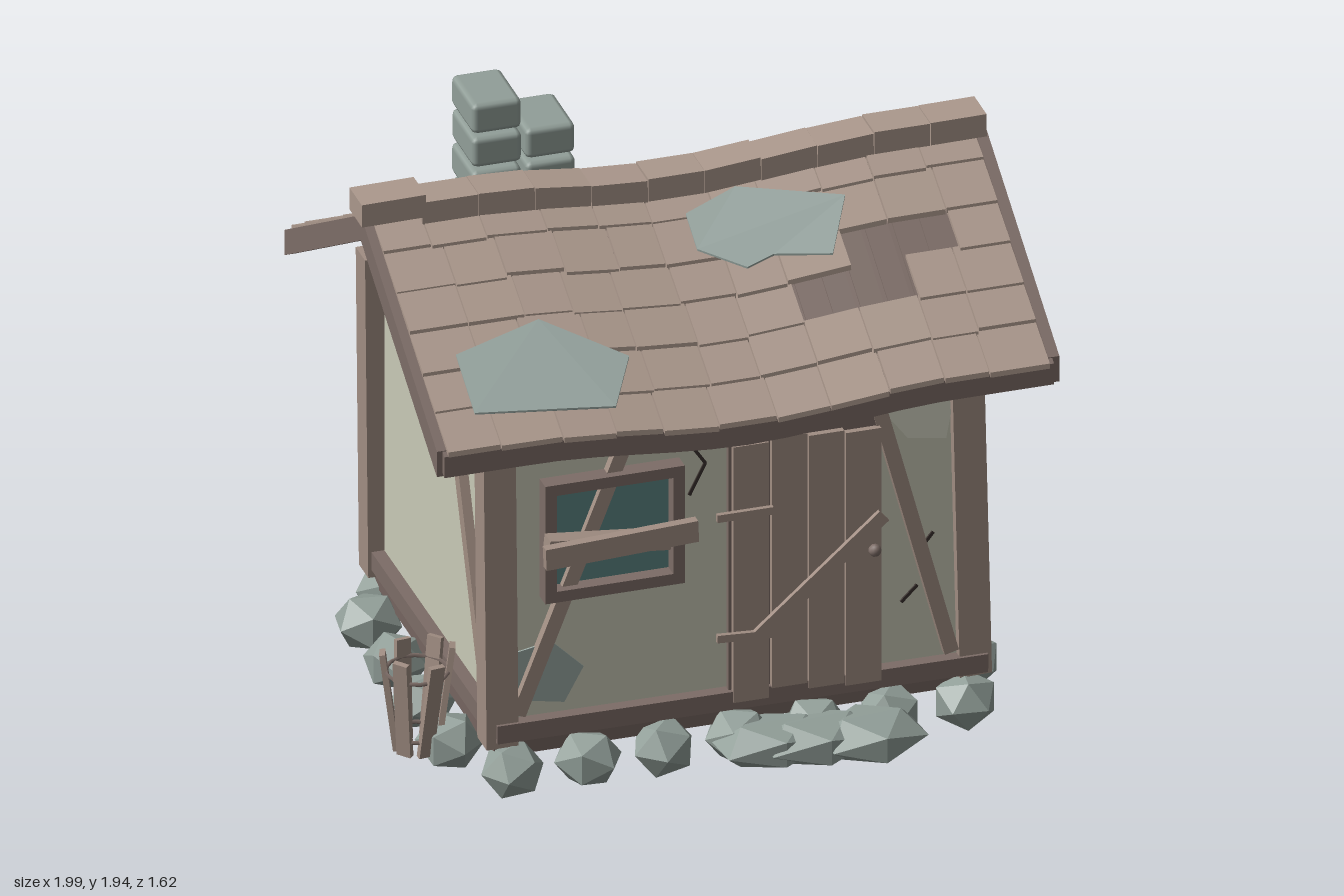
import * as THREE from 'three';
import { RoundedBoxGeometry } from 'three/addons/geometries/RoundedBoxGeometry.js';

const M = {};
for (const [name, color] of Object.entries({
  plaster: 0xc9cab7, palePlaster: 0xd6d6c6, timber: 0xa18e83, darkTimber: 0x7d6d67, shingle: 0xac998d,
  stone: 0x929f99, moss: 0x9ba9a4, glass: 0x5b8583, floorBoards: 0x756560, crackDark: 0x3a312e,
})) {
  M[name] = new THREE.MeshStandardMaterial({ color });
  M[name].name = name;
}

let seed = 11;
const rand = (a, b) => {
  seed = (seed * 16807) % 2147483647;
  return a + (b - a) * (seed / 2147483647);
};

// Roof surface: two slopes with a dip at the middle of the ridge
const RIDGE_Z = -0.055, SLOPE = 0.58;
const sag = (x) => 0.045 * THREE.MathUtils.smoothstep(Math.abs(x - 0.02), 0, 0.65);
const roofY = (x, z) => 1.627 + sag(x) - SLOPE * Math.abs(z - RIDGE_Z);

function add(parent, name, geo, mat, x = 0, y = 0, z = 0) {
  const m = new THREE.Mesh(geo, mat);
  m.name = name;
  m.position.set(x, y, z);
  parent.add(m);
  return m;
}

// Lifts a geometry laid out flat onto the sagging roof surface
function bend(geo, height = roofY) {
  const g = geo.index ? geo.toNonIndexed() : geo;
  const p = g.attributes.position;
  for (let i = 0; i < p.count; i++) p.setY(i, p.getY(i) + height(p.getX(i), p.getZ(i)));
  g.computeVertexNormals();
  return g;
}

// Straight timber between two points on a wall plane; z0 is its back
function bar(wall, name, mat, x1, y1, x2, y2, w, d, z0 = 0) {
  const len = Math.hypot(x2 - x1, y2 - y1);
  const m = add(wall, name, new THREE.BoxGeometry(len, w, d), mat, (x1 + x2) / 2, (y1 + y2) / 2, z0 + d / 2);
  m.rotation.z = Math.atan2(y2 - y1, x2 - x1);
  return m;
}

function plate(pts, depth = 0.006) {
  const shape = new THREE.Shape(pts.map(([x, y]) => new THREE.Vector2(x, y)));
  return new THREE.ExtrudeGeometry(shape, { depth, bevelEnabled: false });
}

function windowUnit(wall, cx, cy, w, h) {
  add(wall, 'windowGlass', new THREE.BoxGeometry(w - 0.03, h - 0.03, 0.008), M.glass, cx, cy, 0.005);
  const x = w / 2 - 0.018, y = h / 2 - 0.018;
  for (const s of [-1, 1]) {
    bar(wall, 'windowFrame', M.darkTimber, cx - w / 2, cy + s * y, cx + w / 2, cy + s * y, 0.036, 0.055);
    bar(wall, 'windowFrame', M.darkTimber, cx + s * x, cy - y, cx + s * x, cy + y, 0.036, 0.055);
  }
}

function crack(wall, pts) {
  for (let i = 1; i < pts.length; i++) bar(wall, 'crack', M.crackDark, ...pts[i - 1], ...pts[i], 0.01, 0.006);
}

function group(parent, name, x = 0, z = 0, turn = 0) {
  const g = new THREE.Group();
  g.name = name;
  g.position.set(x, 0, z);
  g.rotation.y = turn;
  parent.add(g);
  return g;
}

function buildWalls(root) {
  // Plaster body with gables
  const body = plate([[0.53, 0.15], [0.53, 1.23], [RIDGE_Z, 1.58], [-0.63, 1.23], [-0.63, 0.15]], 1.46);
  body.rotateY(-Math.PI / 2);
  add(root, 'plasterWalls', body, M.plaster, 0.76);
  add(root, 'floor', new THREE.BoxGeometry(1.5, 0.05, 1.18), M.floorBoards, 0.03, 0.145, -0.05);

  // Corner posts
  for (const [x1, x2, z] of [[-0.7, -0.71, 0.515], [0.775, 0.75, 0.515], [-0.7, -0.71, -0.62], [0.765, 0.755, -0.62]])
    bar(root, 'cornerPost', M.timber, x1, 0.16, x2, 1.23, 0.1, 0.09, z - 0.045);

  // Front wall
  const front = group(root, 'frontWall', 0, 0.53);
  bar(front, 'sill', M.darkTimber, -0.72, 0.21, 0.81, 0.2, 0.06, 0.04);
  bar(front, 'topPlate', M.darkTimber, -0.7, 1.2, 0.76, 1.2, 0.06, 0.03);
  bar(front, 'brace', M.timber, -0.65, 0.26, -0.3, 1.16, 0.045, 0.03);
  bar(front, 'brace', M.timber, 0.7, 0.25, 0.46, 1.16, 0.045, 0.03);
  windowUnit(front, -0.358, 0.833, 0.435, 0.395);
  bar(front, 'windowBoard', M.timber, -0.6, 0.83, -0.125, 0.85, 0.07, 0.03, 0.11);
  bar(front, 'windowBoard', M.timber, -0.58, 0.85, -0.2, 0.81, 0.05, 0.055, 0.055);
  add(front, 'wallPatch', plate([[-0.65, 0.3], [-0.5, 0.27], [-0.44, 0.38], [-0.54, 0.48], [-0.65, 0.46]]), M.moss);
  add(front, 'palePatch', plate([[0.5, 1.14], [0.51, 1.06], [0.57, 0.98], [0.69, 0.96], [0.71, 1.07], [0.65, 1.14]]), M.palePlaster);
  crack(front, [[-0.07, 1.11], [-0.1, 1.06], [-0.06, 1.0], [-0.11, 0.9]]);
  crack(front, [[0.65, 0.65], [0.61, 0.6]]);
  crack(front, [[0.6, 0.48], [0.55, 0.43]]);

  // Door
  const door = group(front, 'door');
  add(door, 'doorBack', new THREE.BoxGeometry(0.47, 0.9, 0.02), M.darkTimber, 0.24, 0.64, 0.015);
  [[0.07, 0.2, 1.06], [0.19, 0.23, 1.07], [0.305, 0.21, 1.06], [0.42, 0.2, 1.05]].forEach(([x, y1, y2]) =>
    bar(door, 'doorPlank', M.timber, x, y1, x, y2, 0.11, 0.03, 0.015));
  bar(door, 'hinge', M.timber, -0.04, 0.835, 0.135, 0.835, 0.025, 0.015, 0.045);
  bar(door, 'hinge', M.timber, -0.04, 0.43, 0.135, 0.42, 0.025, 0.015, 0.045);
  bar(door, 'doorBrace', M.timber, 0.08, 0.41, 0.48, 0.76, 0.045, 0.015, 0.045);
  add(door, 'doorKnob', new THREE.IcosahedronGeometry(0.02, 1), M.darkTimber, 0.45, 0.65, 0.06);

  // Back wall
  const back = group(root, 'backWall', 0, -0.63, Math.PI);
  bar(back, 'sill', M.darkTimber, -0.79, 0.2, 0.72, 0.21, 0.06, 0.04);
  bar(back, 'topPlate', M.darkTimber, -0.76, 1.2, 0.7, 1.2, 0.06, 0.03);
  bar(back, 'brace', M.timber, 0.62, 0.26, 0.25, 1.18, 0.045, 0.03);

  // End walls: local x runs to the right as seen from outside
  const right = group(root, 'rightWall', 0.76, 0, Math.PI / 2);
  const left = group(root, 'leftWall', -0.7, 0, -Math.PI / 2);
  for (const [wall, s] of [[right, 1], [left, -1]]) {
    const c = -RIDGE_Z * s;
    bar(wall, 'sill', M.darkTimber, c - 0.54, 0.215, c + 0.54, 0.225, 0.06, 0.04);
    bar(wall, 'tieBeam', M.darkTimber, c - 0.54, 1.23, c + 0.54, 1.25, 0.055, 0.045);
    bar(wall, 'kingPost', M.darkTimber, c, 1.25, c, 1.61, 0.045, 0.035);
    for (const k of [-1, 1]) {
      bar(wall, 'gableRafter', M.darkTimber, c + k * 0.58, 1.275, c, 1.61, 0.045, 0.045);
      bar(wall, 'gableBrace', M.timber, c + k * 0.5, 1.255, c + k * 0.02, 1.57, 0.035, 0.03);
    }
  }
  windowUnit(right, 0.205, 0.823, 0.43, 0.385);
  bar(right, 'brace', M.timber, 0.16, 1.19, 0.53, 0.27, 0.045, 0.03);
  add(right, 'wallPatch', plate([[-0.39, 0.33], [-0.21, 0.29], [-0.07, 0.41], [-0.14, 0.53], [-0.35, 0.49]]), M.moss);
  bar(left, 'brace', M.timber, 0.1, 1.19, 0.46, 0.27, 0.045, 0.03);
}

function buildRoof(root) {
  const roof = group(root, 'roof');
  for (const s of [1, -1]) {
    // Deck, eave fascia and barge boards
    const flat = (w, h, d, x, y, run, seg = 1) =>
      bend(new THREE.BoxGeometry(w, h, d, seg, 1, 1).translate(x, y, RIDGE_Z + s * run));
    add(roof, 'roofDeck', flat(1.88, 0.03, 0.745, 0.025, -0.02, 0.3725, 16), M.darkTimber);
    add(roof, 'eaveFascia', flat(1.9, 0.07, 0.025, 0.025, -0.03, 0.735, 16), M.darkTimber);
    for (const x of [-0.925, 0.98])
      add(roof, 'bargeBoard', flat(0.035, 0.085, 0.73, x, -0.035, 0.365), M.darkTimber);

    // Overlapping shingles, with a gap on the front slope
    for (let row = 0; row < 6; row++) {
      const z0 = row * 0.125;
      let x0 = -0.915;
      for (let col = 0; col < 11; col++) {
        const x1 = col === 10 ? 0.96 : -0.915 + (col + 1) * 0.1705 + rand(-0.02, 0.02);
        const mid = (x0 + x1) / 2;
        const missing = s > 0 && ((row === 2 && mid > 0.48 && mid < 0.78) || (row === 3 && mid > 0.2 && mid < 0.6));
        if (!missing) {
          const len = 0.14 + rand(-0.008, 0.006), lift = rand(0, 0.005);
          const g = new THREE.BoxGeometry(x1 - x0 - 0.004, 0.016, len);
          g.rotateX(s * -0.07).translate(mid, 0.008 + lift, RIDGE_Z + s * (z0 + len / 2 - 0.008));
          add(roof, 'shingle', bend(g), M.shingle);
        }
        x0 = x1;
      }
    }
  }
  // Bare battens inside the gap
  for (let x = 0.24; x < 0.8; x += 0.085)
    add(roof, 'batten', bend(new THREE.BoxGeometry(0.07, 0.008, 0.27).translate(x, -0.003, 0.33)), M.darkTimber);

  // Ridge caps, the outer one sitting proud
  for (let i = 0; i < 11; i++) {
    const g = new THREE.BoxGeometry(i ? 0.174 : 0.2, 0.075, 0.118);
    g.rotateZ(rand(-0.02, 0.02)).translate(-0.858 + i * 0.176, (i ? 1.64 : 1.66) + rand(-0.003, 0.005), RIDGE_Z);
    add(roof, 'ridgeCap', bend(g, sag), M.shingle);
  }

  // Weathered patches, given as x, z outlines
  const patch = (pts, mat) =>
    add(roof, 'roofPatch', bend(plate(pts.map(([x, z]) => [x, -z])).rotateX(-Math.PI / 2).translate(0, 0.027, 0)), mat);
  patch([[-0.8, 0.42], [-0.52, 0.35], [-0.28, 0.48], [-0.37, 0.63], [-0.52, 0.625], [-0.8, 0.6]], M.moss);
  patch([[0.03, 0.07], [0.2, 0.02], [0.51, 0.12], [0.42, 0.28], [0.25, 0.24], [0.16, 0.26], [0.03, 0.18]], M.moss);
  patch([[-0.1, -0.68], [0.38, -0.74], [0.51, -0.6], [0.22, -0.45], [-0.05, -0.51]], M.palePlaster);

  // Chimney of two block stacks
  for (const [x, top] of [[-0.487, 1.89], [-0.325, 1.78]])
    for (let y = top; y > 1.42; y -= 0.113)
      add(roof, 'chimneyBlock', new RoundedBoxGeometry(0.155, 0.1, 0.215, 1, 0.018), M.stone, x + rand(-0.005, 0.005), y, -0.245);
}

function buildStones(root) {
  const stone = (name, x, y, z, sx, sy, sz) => {
    const m = add(root, name, new THREE.IcosahedronGeometry(1, 0), M.stone, x, y, z);
    m.rotation.y = rand(0, 6);
    m.scale.set(sx, sy, sz);
    return m;
  };
  // Foundation ring
  const ring = (x, z) => stone('foundationStone', x, 0.085, z, rand(0.1, 0.112), rand(0.085, 0.095), rand(0.092, 0.105));
  for (let i = 0; i < 7; i++) for (const z of [0.56, -0.63]) ring(-0.67 + i * 0.235, z);
  for (const z of [0.33, 0.07, -0.19, -0.45]) for (const x of [-0.79, 0.83]) ring(x, z);
  // Doorstep
  for (const [x, z, sx, sz] of [[0.12, 0.63, 0.2, 0.12], [0.41, 0.68, 0.18, 0.14], [0.25, 0.65, 0.2, 0.13]])
    stone('doorstepStone', x, 0.085, z, sx, 0.078, sz).rotation.y = 0.1;
}

function buildBarrel(root) {
  // Broken barrel of leaning staves beside the left wall
  const barrel = group(root, 'brokenBarrel', -0.882, 0.3);
  for (let i = 0; i < 6; i++) {
    const holder = group(barrel, 'staveHolder', 0, 0, (i * Math.PI) / 3 + 0.2);
    const h = rand(0.31, 0.35);
    const stave = add(holder, 'stave', new THREE.BoxGeometry(0.048, h, 0.018), M.timber, 0, 0.06 + h / 2, 0.083);
    stave.rotation.set(0.13, 0, rand(-0.08, 0.08));
  }
  for (const [y, r] of [[0.11, 0.068], [0.32, 0.094]])
    add(barrel, 'hoop', new THREE.TorusGeometry(r, 0.007, 4, 14).rotateX(Math.PI / 2), M.darkTimber, 0, y, 0);
}

export function createModel() {
  const root = new THREE.Group();
  root.name = 'cottage';
  buildWalls(root);
  buildRoof(root);
  buildStones(root);
  buildBarrel(root);
  return root;
}
